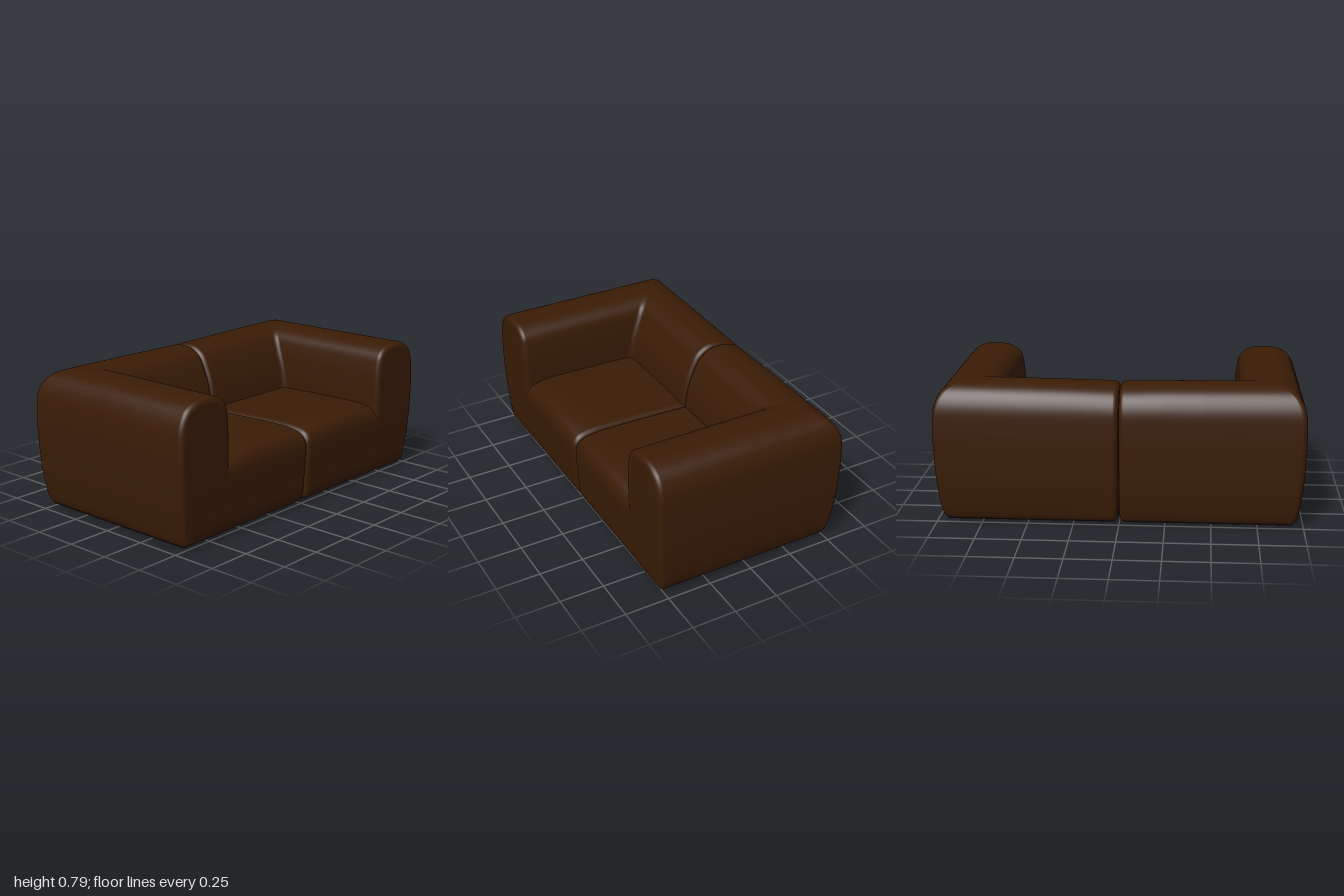
import * as THREE from 'three';

const R = 0.03;      // edge rounding
const FLOOR = 0.022; // underside height
const { smoothstep } = THREE.MathUtils;

// Closed smooth outline through a few points, flat along the underside
function outline(pts, n = 80) {
  const curve = new THREE.CatmullRomCurve3(pts.map(p => new THREE.Vector3(p[0], p[1], p[2] || 0)), true, 'centripetal');
  return Array.from({ length: n }, (_, i) => {
    const p = curve.getPoint(i / n);
    p.y = Math.max(p.y, FLOOR);
    return p;
  });
}

// Outline moved inwards by inset, then shrunk towards its centre
function section(loop, inset, shrink, centre) {
  const n = loop.length;
  return loop.map((p, i) => {
    const a = loop[(i + n - 1) % n], b = loop[(i + 1) % n];
    const dx = b.x - a.x, dy = b.y - a.y, l = Math.hypot(dx, dy) || 1;
    const x = p.x + dy / l * inset, y = p.y - dx / l * inset; // outlines run clockwise
    return [x + (centre[0] - x) * shrink, y + (centre[1] - y) * shrink];
  });
}

// Stations of a rounded, closed end: [distance from end, inset, shrink]
const endStations = [[0, R, 1], [0, R, 0.7], [0, R, 0.4], [0, R, 0.15]];
for (let k = 0; k <= 6; k++) {
  const a = k * Math.PI / 12;
  endStations.push([R * (1 - Math.cos(a)), R * (1 - Math.sin(a)), 0]);
}

// Skin over rings of points; side = 1 or -1 mirrors it in x
function loft(rings, side) {
  const n = rings[0].length, pos = [], idx = [];
  for (const ring of rings) for (const [x, y, z] of ring) {
    // sides draw in slightly towards the floor
    const t = Math.max(0, (0.5 - y) / 0.48) ** 2;
    const px = x + 0.004 * t * Math.max(0, 1 - x / 0.3);
    const pz = z - 0.025 * t * Math.max(0, z / 0.55);
    pos.push(px * side, y, pz);
  }
  for (let r = 0; r < rings.length - 1; r++) for (let i = 0; i < n; i++) {
    const j = (i + 1) % n, a = r * n + i, b = r * n + j, c = a + n, d = b + n;
    idx.push(a, b, c, b, d, c);
  }
  // make the faces point outwards
  let vol = 0;
  const v = i => new THREE.Vector3(pos[i * 3], pos[i * 3 + 1], pos[i * 3 + 2]);
  for (let i = 0; i < idx.length; i += 3) vol += v(idx[i]).dot(v(idx[i + 1]).cross(v(idx[i + 2])));
  if (vol < 0) idx.reverse();
  const g = new THREE.BufferGeometry();
  g.setAttribute('position', new THREE.Float32BufferAttribute(pos, 3));
  g.setIndex(idx);
  g.computeVertexNormals();
  return g;
}

// Arm and back in one sweep with a tight mitred corner
function armAndBack(side) {
  // arm depth, height, back depth (both measured inwards from the outer face)
  const loop = outline([
    [0.058, FLOOR, 0.058], [0.038, 0.05, 0.038], [0.014, 0.2, 0.012], [0.002, 0.4, 0.002], [0, 0.55, 0],
    [0.01, 0.66, 0.008], [0.05, 0.74, 0.05], [0.12, 0.778, 0.12], [0.2, 0.785, 0.19], [0.28, 0.772, 0.25],
    [0.335, 0.73, 0.305], [0.354, 0.65, 0.345], [0.36, 0.55, 0.38], [0.36, 0.42, 0.4], [0.36, 0.3, 0.4],
    [0.35, 0.05, 0.39], [0.3, FLOOR, 0.33]]);
  const arm = loop.map(p => ({ x: p.x, y: p.y }));
  const back = loop.map(p => ({ x: p.z, y: p.y }));
  const rings = [];
  const armRing = (z, inset, shrink) =>
    rings.push(section(arm, inset, shrink, [0.18, 0.4]).map(([d, y]) => [1 - d, y, z]));
  // the back dips a little towards the middle seam
  const backRing = (x, inset, shrink) =>
    rings.push(section(back, inset, shrink, [0.19, 0.4]).map(([d, y]) =>
      [x, y - 0.01 * (1 - x / 0.6) * smoothstep(y, 0.6, 0.78), d - 0.555]));
  for (const [s, inset, shrink] of endStations) armRing(0.55 - s, inset, shrink);
  for (const z of [0.4, 0.2, 0]) armRing(z, 0, 0);
  for (let k = 0; k <= 6; k++) {
    const a = k * Math.PI / 12;
    rings.push(loop.map(p => [
      1 - p.x - R * (1 - Math.cos(a)), p.y, p.z - 0.555 + R * (1 - Math.sin(a))]));
  }
  for (const x of [0.45, 0.25]) backRing(x, 0, 0);
  for (const [s, inset, shrink] of [...endStations].reverse()) backRing(0.001 + s, inset, shrink);
  return loft(rings, side);
}

// Seat block with a soft front edge and a gently crowned top
function seatBlock(side) {
  const loop = outline([
    [-0.35, FLOOR], [-0.38, 0.05], [-0.38, 0.38], [-0.35, 0.415], [-0.16, 0.428], [0.1, 0.445], [0.3, 0.455],
    [0.43, 0.452], [0.51, 0.43], [0.54, 0.39], [0.55, 0.33], [0.55, 0.2], [0.548, 0.05], [0.525, FLOOR]]);
  const rings = [];
  const ring = (x, inset, shrink) => rings.push(section(loop, inset, shrink, [0.08, 0.24]).map(([z, y]) => {
    const drop = 0.02 * Math.min(1, Math.abs(x - 0.32) / 0.32) ** 2.5 * smoothstep(z, -0.3, 0.4);
    return [x, y - drop * smoothstep(y, 0.3, 0.44), z];
  }));
  for (const [s, inset, shrink] of endStations) ring(0.001 + s, inset, shrink);
  for (let x = 0.1; x < 0.9; x += 0.06) ring(x, 0, 0);
  for (const [s, inset, shrink] of [...endStations].reverse()) ring(0.95 - s, inset, shrink);
  return loft(rings, side);
}

export function createModel() {
  const sofa = new THREE.Group();
  sofa.name = 'sofa';
  const leather = new THREE.MeshStandardMaterial({ color: 0x3a1c05 });
  leather.name = 'brown leather';
  const lining = new THREE.MeshStandardMaterial({ color: 0x1e1e1e });
  lining.name = 'black lining';
  const plastic = new THREE.MeshStandardMaterial({ color: 0x303034 });
  plastic.name = 'dark plastic';

  const add = (parent, name, geometry, material, x = 0, y = 0, z = 0) => {
    const mesh = new THREE.Mesh(geometry, material);
    mesh.name = name;
    mesh.position.set(x, y, z);
    parent.add(mesh);
  };

  for (const side of [1, -1]) {
    const half = new THREE.Group();
    half.name = side > 0 ? 'leftModule' : 'rightModule';
    sofa.add(half);
    add(half, 'armAndBack', armAndBack(side), leather);
    add(half, 'seat', seatBlock(side), leather);
    // underside and feet
    add(half, 'underside', new THREE.BoxGeometry(0.9, 0.012, 0.99), lining, side * 0.49, 0.024, 0);
    for (const x of [0.09, 0.87]) for (const z of [-0.43, 0.43]) {
      add(half, 'foot', new THREE.CylinderGeometry(0.028, 0.024, 0.02, 20), plastic, side * x, 0.01, z);
    }
  }
  // straps joining the two modules
  for (const z of [-0.345, 0.345]) {
    add(sofa, 'connector', new THREE.BoxGeometry(0.2, 0.008, 0.03), lining, 0, 0.016, z);
  }
  return sofa;
}
